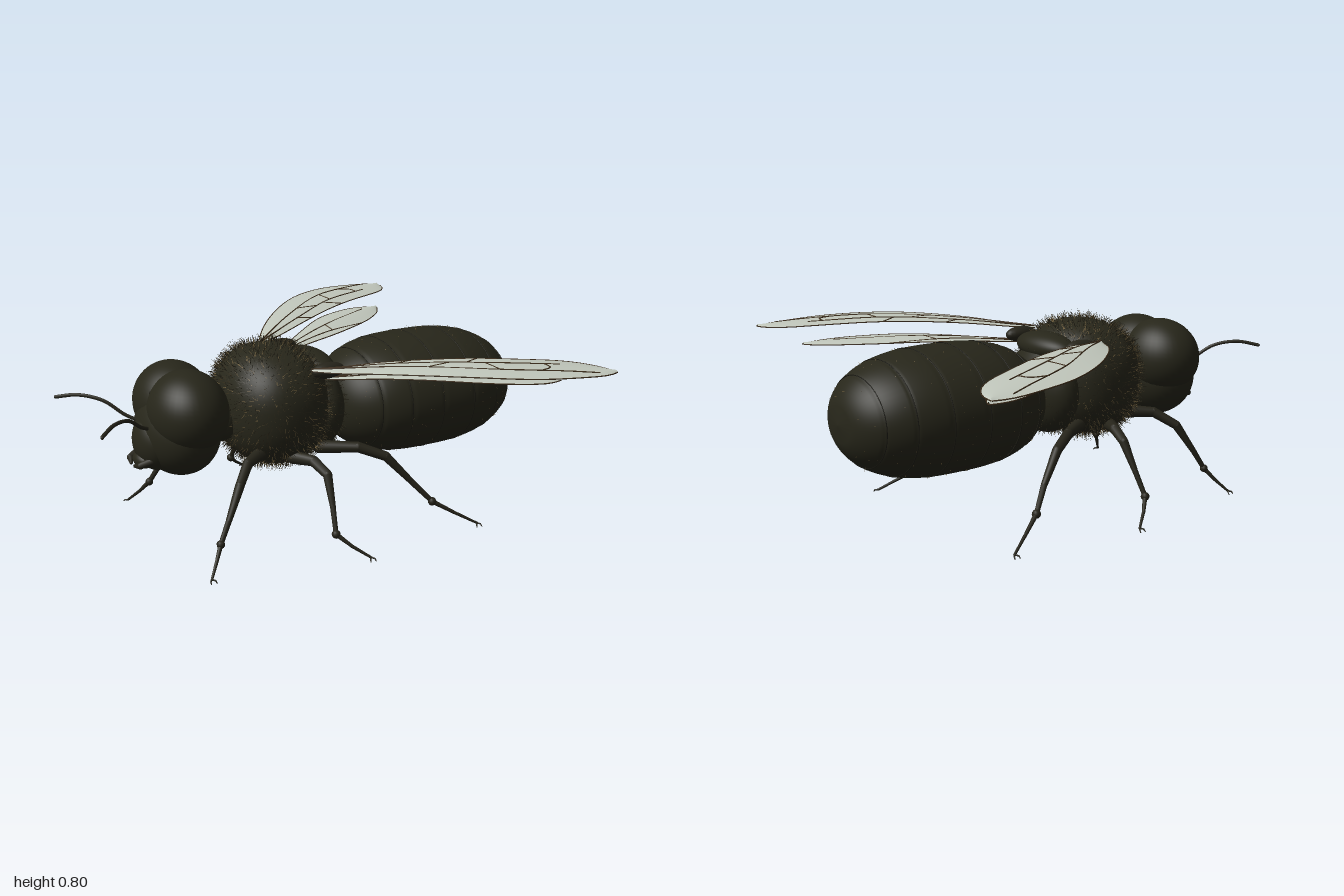
import * as THREE from 'three';
import { mergeGeometries } from 'three/addons/utils/BufferGeometryUtils.js';

const mat = (name, color, side = THREE.FrontSide) =>
  Object.assign(new THREE.MeshStandardMaterial({ color, side }), { name });
const V = (p) => new THREE.Vector3(...p);

export function createModel() {
  const shell = mat('dark shell', 0x27261a);
  const limb = mat('dark limb', 0x26241a);
  const seam = mat('seam black', 0x17160f);
  const vein = mat('wing vein', 0x3d2d1b);
  const membrane = mat('wing membrane', 0xc2c8bd, THREE.DoubleSide);
  const darkHair = mat('dark hair', 0x2e291b);
  const tanHair = mat('tan hair', 0x78643f);

  const model = new THREE.Group();
  model.name = 'beeModel';
  const add = (name, geo, material, parent = model) => {
    const m = new THREE.Mesh(geo, material);
    m.name = name;
    parent.add(m);
    return m;
  };
  const ellipsoid = (name, c, r, material = shell, detail = 40) => {
    const m = add(name, new THREE.SphereGeometry(1, detail, Math.ceil(detail * 0.7)), material);
    m.position.set(...c);
    m.scale.set(...r);
  };
  // Chain of tapered segments with round joints; each point is [x, y, z, radius, optional joint radius]
  const chain = (name, pts, side) => {
    const geos = [];
    pts.forEach((p, i) => {
      const a = V([p[0], p[1], p[2] * side]);
      geos.push(new THREE.SphereGeometry(p[4] ?? p[3], 10, 8).translate(a.x, a.y, a.z));
      if (i === pts.length - 1) return;
      const q = pts[i + 1], b = V([q[0], q[1], q[2] * side]);
      const d = b.clone().sub(a), mid = a.clone().add(b).multiplyScalar(0.5);
      const turn = new THREE.Quaternion().setFromUnitVectors(V([0, 1, 0]), d.clone().normalize());
      geos.push(new THREE.CylinderGeometry(q[3], p[3], d.length(), 10, 1, true)
        .applyQuaternion(turn).translate(mid.x, mid.y, mid.z));
    });
    add(name, mergeGeometries(geos), limb);
  };

  // Seeded random numbers and random directions
  let seed = 7;
  const rnd = () => (seed = (seed * 16807) % 2147483647) / 2147483647;
  const dir = () => {
    const y = rnd() * 2 - 1, a = rnd() * Math.PI * 2, s = Math.sqrt(1 - y * y);
    return V([s * Math.cos(a), y, s * Math.sin(a)]);
  };

  // Thorax: a slightly boxy ellipsoid
  const soft = (n) => Math.sign(n) * Math.abs(n) ** 0.86;
  const onThorax = (n) => V([-0.17 + 0.22 * soft(n.x), 0.518 + 0.245 * soft(n.y), 0.272 * soft(n.z)]);
  const thorax = new THREE.SphereGeometry(1, 48, 32);
  const tp = thorax.attributes.position;
  for (let i = 0; i < tp.count; i++) {
    const p = onThorax(new THREE.Vector3().fromBufferAttribute(tp, i));
    tp.setXYZ(i, p.x, p.y, p.z);
  }
  thorax.computeVertexNormals();
  add('thorax', thorax, shell);
  ellipsoid('scutellum', [0.01, 0.665, 0], [0.085, 0.06, 0.17]);
  ellipsoid('rearThorax', [0.025, 0.49, 0], [0.11, 0.19, 0.21]);
  ellipsoid('waist', [0.11, 0.48, 0], [0.07, 0.1, 0.11]);
  ellipsoid('neck', [-0.4, 0.48, 0], [0.08, 0.09, 0.09]);

  // Hair: thin pointed slivers, two-faced, shaded like the surface they grow from
  const hair = (name, count, length, width, material, surface) => {
    const pos = [], nor = [];
    for (let i = 0; i < count; i++) {
      const n = dir(), p = surface(n);
      const out = n.clone().addScaledVector(dir(), 0.45).normalize();
      const across = out.clone().cross(dir()).normalize().multiplyScalar(width);
      const base = p.clone().addScaledVector(out, -0.008);
      const tip = p.clone().addScaledVector(out, length * (0.45 + 0.75 * rnd()));
      const a = base.clone().sub(across), b = base.clone().add(across);
      for (const q of [a, b, tip, b, a, tip]) {
        pos.push(q.x, q.y, q.z);
        nor.push(n.x, n.y, n.z);
      }
    }
    const g = new THREE.BufferGeometry();
    g.setAttribute('position', new THREE.Float32BufferAttribute(pos, 3));
    g.setAttribute('normal', new THREE.Float32BufferAttribute(nor, 3));
    add(name, g, material);
  };
  hair('thoraxHair', 4500, 0.036, 0.0018, darkHair, onThorax);
  hair('thoraxTanHair', 1300, 0.034, 0.0018, tanHair, onThorax);
  hair('rearHair', 700, 0.03, 0.0018, darkHair,
    (n) => V([0.025 + 0.11 * n.x, 0.49 + 0.19 * n.y, 0.21 * n.z]));

  // Abdomen: overlapping rings, each stepping in behind the last; the tail tapers more than the front
  const radius = (x) => {
    const t = (x - 0.545) / 0.445;
    return 0.305 * Math.max(0, t < 0 ? 1 - (-t) ** 3 : 1 - t ** 2.5) ** (1 / 2.3);
  };
  const rings = [0.1, 0.23, 0.35, 0.5, 0.66, 0.8, 0.9, 0.99];
  const profile = [];
  for (let s = 0; s < rings.length - 1; s++) {
    for (let i = 0; i <= 10; i++) {
      const x = THREE.MathUtils.lerp(rings[s], rings[s + 1], i / 10);
      const dip = i === 0 && s > 0 ? 0.004 : 0;
      profile.push(new THREE.Vector2(Math.max(0, radius(x) - dip), x));
    }
  }
  const abdomen = new THREE.Group();
  abdomen.name = 'abdomen';
  abdomen.position.y = 0.475;
  abdomen.scale.y = 0.84;
  model.add(abdomen);
  add('abdomenShell', new THREE.LatheGeometry(profile, 56).rotateZ(-Math.PI / 2), shell, abdomen);
  for (const x of rings.slice(1, -1)) {
    add('abdomenSeam', new THREE.TorusGeometry(radius(x), 0.002, 6, 56).rotateY(Math.PI / 2), seam, abdomen)
      .position.x = x;
  }
  hair('abdomenHair', 350, 0.01, 0.0018, tanHair, (n) => {
    const x = 0.545 + 0.42 * n.x, r = radius(x), s = Math.hypot(n.y, n.z);
    return V([x, 0.475 + 0.84 * r * n.y / s, r * n.z / s]);
  });

  // Head, face and simple eyes
  ellipsoid('head', [-0.585, 0.475, 0], [0.165, 0.185, 0.22]);
  ellipsoid('face', [-0.68, 0.44, 0], [0.09, 0.12, 0.12]);
  ellipsoid('upperLip', [-0.735, 0.37, 0], [0.04, 0.035, 0.06]);
  [[-0.7, 0.61, 0.025], [-0.7, 0.61, -0.025], [-0.688, 0.635, 0]].forEach((c) =>
    ellipsoid('simpleEye', c, [0.012, 0.012, 0.012], seam, 12));

  // Wing point from span u and chord v, between leading and trailing edge curves
  const wing = (name, lead, trail, heights, veins, side) => {
    const group = new THREE.Group();
    group.name = name;
    model.add(group);
    const edge = (pts) => new THREE.SplineCurve(pts.map((p) => new THREE.Vector2(...p)));
    const A = edge(lead), B = edge(trail);
    const lift = edge(heights.map((h, i) => [i, h]));
    const at = (u, v) => {
      const p = A.getPointAt(u).lerp(B.getPointAt(u), v);
      return V([p.x, lift.getPoint(u).y + 0.008 * Math.sin(Math.PI * v), p.y * side]);
    };
    const nu = 32, nv = 6, pos = [], idx = [];
    for (let i = 0; i <= nu; i++) {
      for (let j = 0; j <= nv; j++) {
        pos.push(...at(i / nu, j / nv).toArray());
        if (i === nu || j === nv) continue;
        const a = i * (nv + 1) + j, b = a + nv + 1;
        idx.push(...(side > 0 ? [a, b, a + 1, b, b + 1, a + 1] : [a, a + 1, b, b, a + 1, b + 1]));
      }
    }
    const g = new THREE.BufferGeometry();
    g.setAttribute('position', new THREE.Float32BufferAttribute(pos, 3));
    g.setIndex(idx);
    g.computeVertexNormals();
    add('wingMembrane', g, membrane, group);
    const border = (v) => Array.from({ length: 25 }, (_, i) => [i / 24, v]);
    const tubes = [border(0), border(1), [[1, 0], [1, 1]], ...veins].map((line, i) =>
      new THREE.TubeGeometry(new THREE.CatmullRomCurve3(line.map(([u, v]) => at(u, v))),
        line.length > 2 ? 32 : 8, i < 3 ? 0.0024 : 0.0034, 5));
    add('wingVeins', mergeGeometries(tubes), vein, group);
  };

  for (const side of [1, -1]) {
    const tag = side > 0 ? 'left' : 'right';

    // Large compound eyes merging on top of the head
    ellipsoid(tag + 'Eye', [-0.57, 0.565, 0.075 * side], [0.158, 0.166, 0.19]);

    // Antennae and jaws
    const feeler = new THREE.CatmullRomCurve3([[-0.72, 0.51, 0.055], [-0.77, 0.535, 0.085], [-0.84, 0.59, 0.14],
      [-0.92, 0.608, 0.205], [-0.995, 0.592, 0.272]].map(([x, y, z]) => V([x, y, z * side])));
    add(tag + 'Antenna', new THREE.TubeGeometry(feeler, 32, 0.0075, 8), limb);
    ellipsoid(tag + 'AntennaTip', [-0.992, 0.592, 0.271 * side], [0.0075, 0.0075, 0.0075], limb, 10);
    chain(tag + 'Jaw', [[-0.73, 0.38, 0.07, 0.016], [-0.77, 0.365, 0.055, 0.014], [-0.78, 0.355, 0.02, 0.007]], side);

    // Legs: hip, thigh, shin, ball ankle, foot, then a forked claw
    const legs = {
      FrontLeg: [[-0.3, 0.37, 0.17, 0.028], [-0.39, 0.365, 0.235, 0.021], [-0.46, 0.31, 0.305, 0.019],
        [-0.53, 0.19, 0.345, 0.012], [-0.575, 0.11, 0.365, 0.01, 0.017], [-0.61, 0.06, 0.4, 0.007], [-0.65, 0.012, 0.44, 0.005]],
      MiddleLeg: [[-0.17, 0.34, 0.2, 0.028], [-0.125, 0.345, 0.29, 0.022], [-0.105, 0.31, 0.37, 0.019],
        [-0.115, 0.2, 0.43, 0.012], [-0.128, 0.1, 0.48, 0.01, 0.018], [-0.08, 0.055, 0.525, 0.007], [-0.02, 0.012, 0.57, 0.005]],
      HindLeg: [[-0.03, 0.35, 0.17, 0.028], [0.1, 0.355, 0.265, 0.022], [0.2, 0.315, 0.32, 0.02],
        [0.3, 0.2, 0.365, 0.013], [0.375, 0.112, 0.415, 0.01, 0.018], [0.46, 0.06, 0.46, 0.007], [0.545, 0.012, 0.505, 0.005]],
    };
    for (const [name, pts] of Object.entries(legs)) {
      chain(tag + name, pts, side);
      const [x, y, z] = pts.at(-1);
      for (const k of [-1, 1]) {
        chain(tag + name + 'Claw', [[x, y, z, 0.004], [x + 0.01 * k, 0.01, z + 0.012, 0.003],
          [x + 0.012 * k, 0.002, z + 0.02, 0.002]], side);
      }
    }

    // Wing roots and the two overlapping wings
    ellipsoid(tag + 'WingRoot', [-0.01, 0.685, 0.205 * side], [0.075, 0.033, 0.035], limb, 20);
    wing(tag + 'ForeWing',
      [[-0.1, 0.235], [0.0, 0.39], [0.16, 0.575], [0.35, 0.745], [0.56, 0.86], [0.8, 0.9], [0.9, 0.88]],
      [[-0.1, 0.22], [0.1, 0.31], [0.35, 0.45], [0.56, 0.565], [0.79, 0.69], [0.88, 0.79], [0.9, 0.865]],
      [0.7, 0.73, 0.745, 0.738, 0.722],
      [[[0, 0.5], [0.3, 0.45], [0.6, 0.36], [0.82, 0.3], [0.92, 0.2]],
        [[0, 0.6], [0.3, 0.74], [0.55, 0.7], [0.8, 0.7]],
        [[0.38, 0.43], [0.45, 0.72]], [[0.6, 0.36], [0.56, 0.7]], [[0.5, 0.7], [0.54, 1]],
        [[0.72, 0.33], [0.76, 0.5], [0.75, 0.7]], [[0.28, 0.73], [0.32, 1]]], side);
    wing(tag + 'HindWing',
      [[-0.02, 0.215], [0.2, 0.41], [0.4, 0.58], [0.58, 0.68], [0.7, 0.71], [0.78, 0.695]],
      [[-0.02, 0.2], [0.3, 0.29], [0.53, 0.41], [0.7, 0.56], [0.78, 0.68]],
      [0.65, 0.668, 0.675, 0.668, 0.657],
      [[[0, 0.4], [0.4, 0.4], [0.85, 0.45]], [[0, 0.7], [0.35, 0.75], [0.6, 1]], [[0.45, 0.4], [0.4, 0.78]]], side);
  }
  return model;
}
